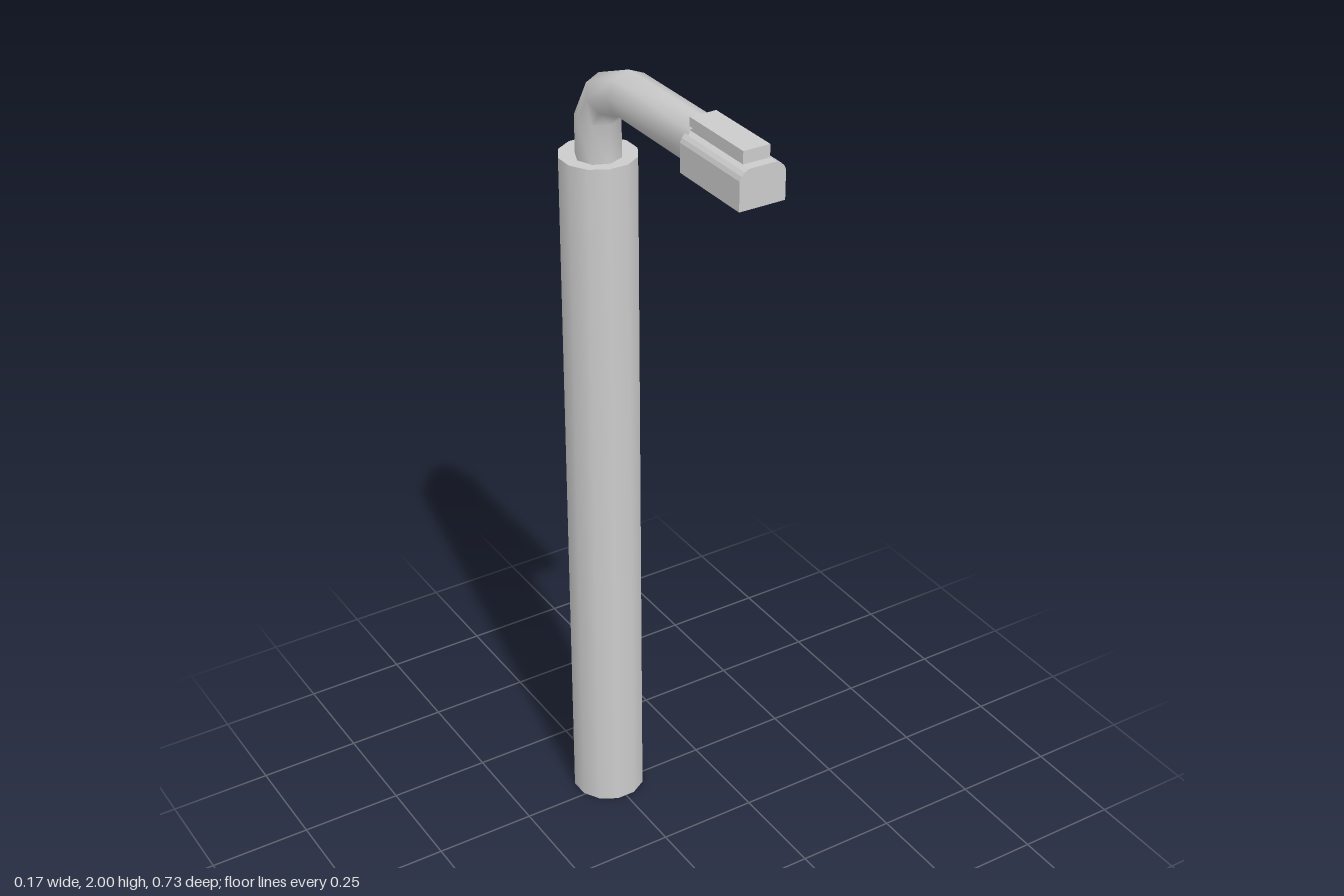
import * as THREE from 'three';

const mat = new THREE.MeshStandardMaterial({ color: 0xcccccc, side: THREE.DoubleSide });
const CX = -0.005; // the pipe and head sit slightly off the post axis

// Eight-sided bent pipe: each station is [y, z, tilt of the ring]
function pipeGeometry(stations, radius, sides = 8) {
  const pos = [], idx = [];
  for (const [y, z, tilt] of stations) {
    for (let j = 0; j < sides; j++) {
      const a = (j / sides) * Math.PI * 2;
      const out = Math.cos(a) * radius;
      pos.push(CX + Math.sin(a) * radius, y + out * Math.cos(tilt), z - out * Math.sin(tilt));
    }
  }
  for (let i = 0; i < stations.length - 1; i++) {
    for (let j = 0; j < sides; j++) {
      const a = i * sides + j, b = i * sides + (j + 1) % sides;
      idx.push(a, a + sides, b, b, a + sides, b + sides);
    }
  }
  const g = new THREE.BufferGeometry();
  g.setAttribute('position', new THREE.Float32BufferAttribute(pos, 3));
  g.setIndex(idx);
  g.computeVertexNormals();
  return g;
}

function rectPoints(w, z0, z1) {
  return [[-w, z0], [w, z0], [w, z1], [-w, z1]].map(([x, z]) => new THREE.Vector2(x, -z));
}

export function createModel() {
  const model = new THREE.Group();
  const add = (name, geometry, x = 0, y = 0, z = 0, parent = model) => {
    const mesh = new THREE.Mesh(geometry, mat);
    mesh.name = name;
    mesh.position.set(x, y, z);
    parent.add(mesh);
    return mesh;
  };

  // Twelve-sided post with flats facing the axes
  const post = new THREE.CylinderGeometry(0.09, 0.09, 1.75, 12);
  post.rotateY(Math.PI / 12);
  add('post', post, 0, 0.875, -0.278);

  // Pipe rising from the post and bending forward
  const q = Math.PI / 4;
  add('bentPipe', pipeGeometry([
    [1.94, 0.16, 0], [1.94, -0.137, 0], [1.906, -0.224, q],
    [1.84, -0.268, 2 * q], [1.74, -0.268, 2 * q],
  ], 0.053));

  // Head: shouldered body, hollow underside, rail on top
  const head = new THREE.Group();
  head.name = 'head';
  model.add(head);

  const shoulder = new THREE.Shape();
  shoulder.moveTo(-0.054, 1.91);
  shoulder.lineTo(0.054, 1.91);
  shoulder.lineTo(0.054, 1.95);
  shoulder.quadraticCurveTo(0.05, 1.966, 0.032, 1.972);
  shoulder.lineTo(-0.032, 1.972);
  shoulder.quadraticCurveTo(-0.05, 1.966, -0.054, 1.95);
  shoulder.closePath();
  add('headBody', new THREE.ExtrudeGeometry(shoulder,
    { depth: 0.215, bevelEnabled: false, curveSegments: 3 }), CX, 0, 0.148, head);

  const rim = new THREE.Shape(rectPoints(0.054, 0.148, 0.363));
  rim.holes.push(new THREE.Path(rectPoints(0.04, 0.164, 0.347)));
  const rimGeo = new THREE.ExtrudeGeometry(rim, { depth: 0.025, bevelEnabled: false });
  rimGeo.rotateX(-Math.PI / 2);
  add('headRim', rimGeo, CX, 1.885, 0, head);

  add('topRail', new THREE.BoxGeometry(0.063, 0.035, 0.192), CX, 1.9825, 0.244, head);

  return model;
}
